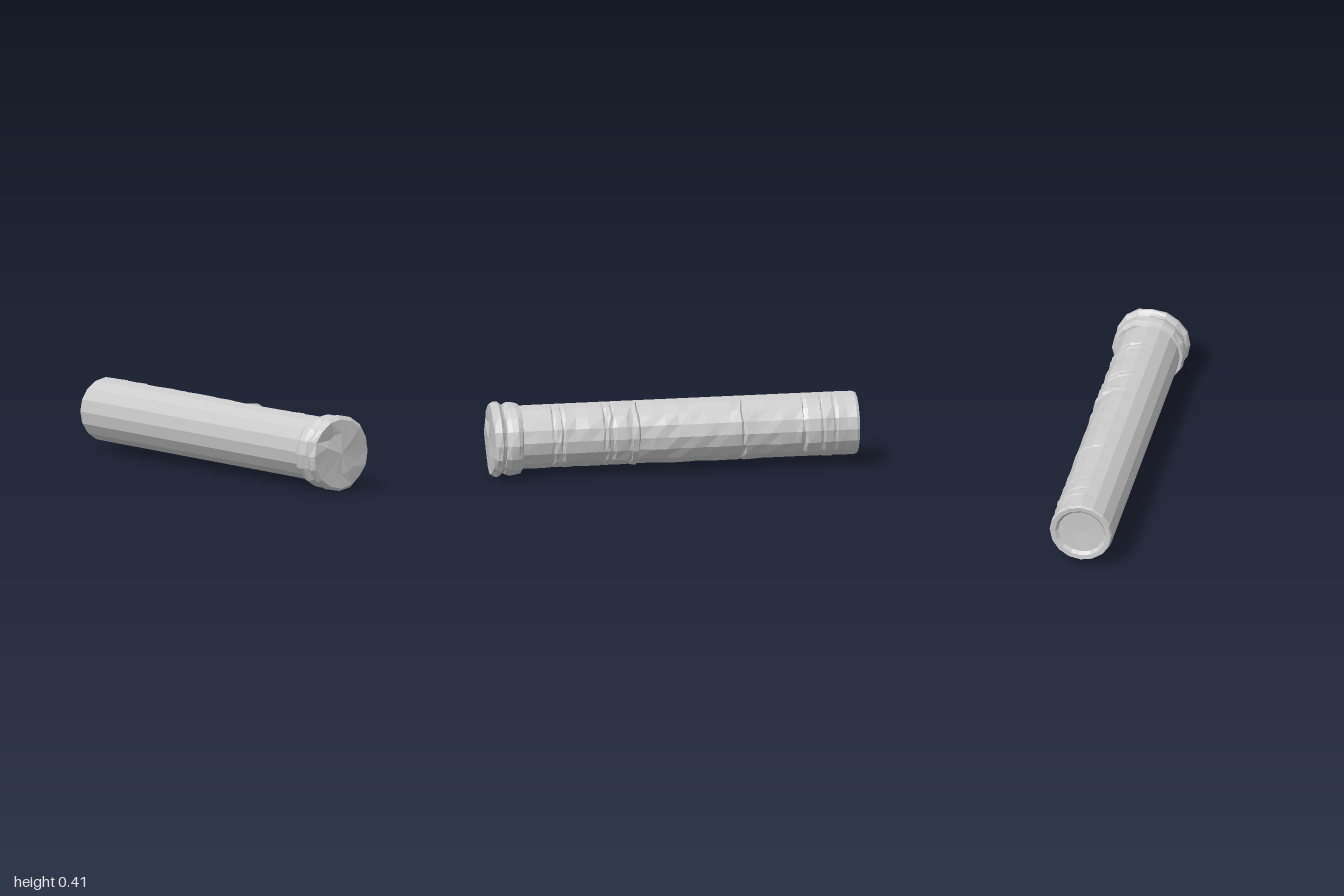
import * as THREE from 'three';

const SEG = 16;

// Repeatable noise in -1..1
function noise(i, j) {
  const s = Math.sin(i * 127.1 + j * 311.7 + 4.3) * 43758.5453;
  return (s - Math.floor(s)) * 2 - 1;
}

// The tube's axis rises slightly towards the back
const axisY = (z) => 0.221 - 0.009 * z;

// Turned part along z; rule(i, j, angle, r, z) returns the new [r, z] of each vertex
function turned(name, profile, material, rule, centre) {
  const geo = new THREE.LatheGeometry(profile.map(([r, z]) => new THREE.Vector2(r, z)), SEG);
  const pos = geo.attributes.position;
  for (let k = 0; k < pos.count; k++) {
    const j = k % profile.length;
    const i = Math.floor(k / profile.length) % SEG;
    const a = (i / SEG) * Math.PI * 2;
    const [r, z] = rule(i, j, a, ...profile[j]);
    const [cx, cy] = centre(z);
    pos.setXYZ(k, cx + r * Math.sin(a), cy - r * Math.cos(a), z);
  }
  geo.computeVertexNormals();
  const mesh = new THREE.Mesh(geo, material);
  mesh.name = name;
  return mesh;
}

export function createModel() {
  const group = new THREE.Group();
  group.name = 'tube';
  const grey = new THREE.MeshStandardMaterial({ color: 0xcccccc, flatShading: true });

  // Tube body: recessed back end, then a wall with worn grooves on the left side
  const body = [[0, -0.975], [0.125, -0.98], [0.14, -0.997], [0.165, -1], [0.172, -0.985]];
  const endRows = body.length;
  const grooves = [-0.87, -0.8, -0.7, -0.37, 0.34, 0.38, 0.61, 0.66];
  const rows = [];
  for (let z = -0.93; z < 0.82; z += 0.07) {
    if (!grooves.some((g) => Math.abs(g - z) < 0.035) && Math.abs(z - 0.22) > 0.04) rows.push([0.171, z]);
  }
  for (const g of grooves) rows.push([0.173, g - 0.016], [0.163, g], [0.171, g + 0.012]);
  // Raised band
  rows.push([0.165, 0.195], [0.178, 0.205], [0.178, 0.228], [0.166, 0.238]);
  rows.sort((a, b) => a[1] - b[1]);
  body.push(...rows, [0.172, 0.86]);
  group.add(turned('body', body, grey, (i, j, a, r, z) => {
    if (j < endRows || j === body.length - 1) return [r, z];
    const wear = THREE.MathUtils.smoothstep(Math.sin(a), -0.15, 0.5);
    const worn = r + noise(i, j) * 0.004;
    return [THREE.MathUtils.lerp(0.173, worn, wear), z + noise(j, i) * 0.006 * wear];
  }, (z) => [-0.005, axisY(z)]));

  // Collar and end cap: two uneven bulges with a groove between
  const cap = [
    [0.168, 0.828], [0.19, 0.833], [0.2, 0.86], [0.2, 0.895], [0.19, 0.918],
    [0.183, 0.925], [0.19, 0.934], [0.204, 0.947], [0.204, 0.967], [0.186, 0.987],
    [0.11, 0.992], [0, 0.995],
  ];
  const last = cap.length - 1;
  group.add(turned('endCap', cap, grey, (i, j, a, r, z) => {
    if (j === 0 || j === last) return [r, z];
    const face = j === last - 1;
    // Shallow dent in the end face, up and to one side
    if (face && (i === 9 || i === 10)) return [r, z - 0.012];
    return [r + noise(i, j) * 0.004, Math.min(1, z + noise(j, i) * 0.005)];
  }, () => [-0.001, 0.208]));

  return group;
}
